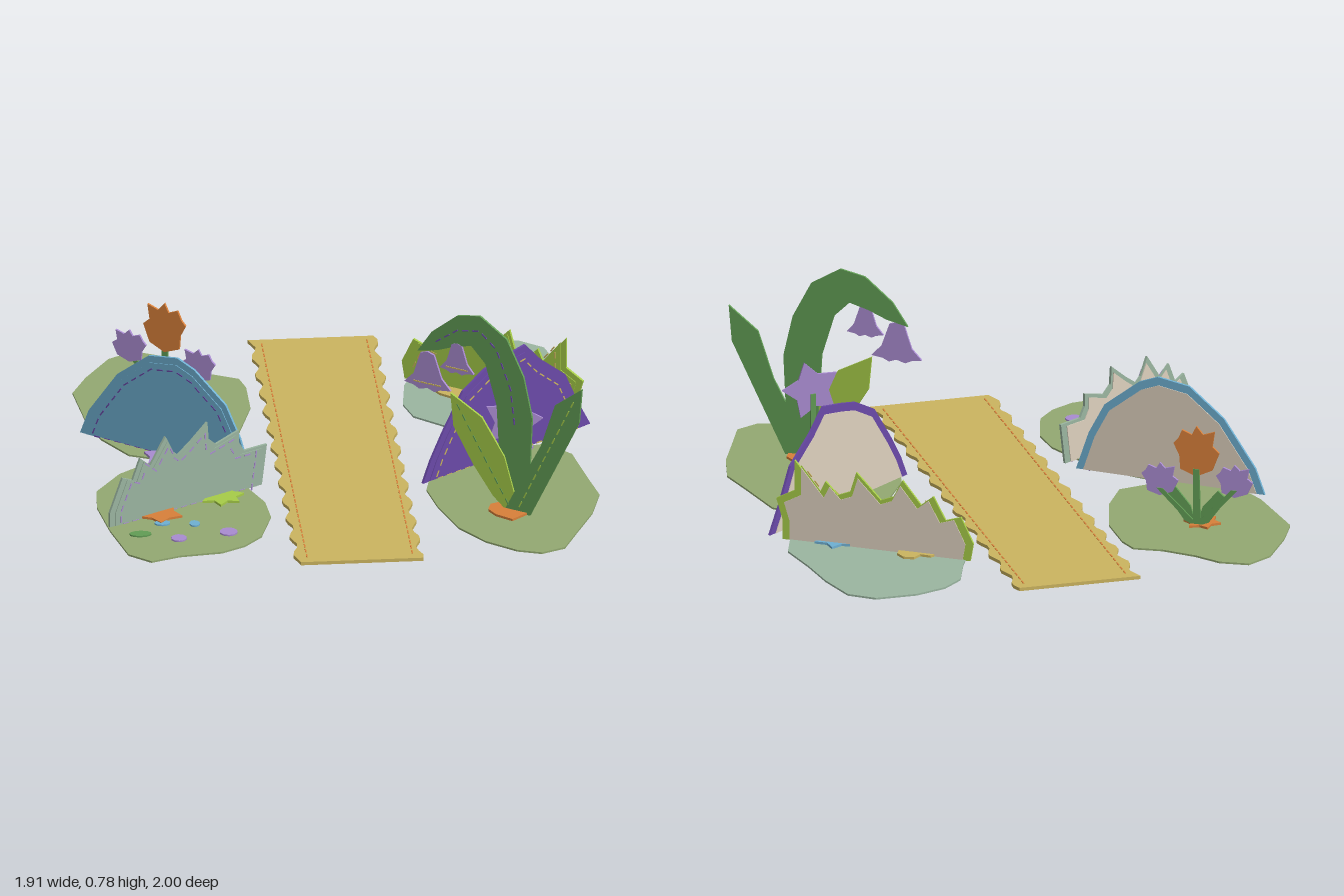
import * as THREE from 'three';
import { mergeGeometries } from 'three/addons/utils/BufferGeometryUtils.js';

const mat = (name, color) => {
  const m = new THREE.MeshStandardMaterial({ color });
  m.name = name;
  return m;
};

export function createModel() {
  const model = new THREE.Group();
  model.name = 'feltGarden';
  const tan = mat('sand', 0xcbb45f), moss = mat('moss', 0x93a972), sage = mat('sage', 0x9ab5a0);
  const purple = mat('purple', 0x6a49a8), lilac = mat('lilac', 0xa98bd0), blue = mat('blue', 0x6fb0d2);
  const lime = mat('lime', 0xa6cc48), green = mat('leafGreen', 0x629d55), orange = mat('orange', 0xd8803a);
  const cream = mat('cream', 0xddd0be);

  const add = (parent, geometry, material, name) => {
    const mesh = new THREE.Mesh(geometry, material);
    mesh.name = name;
    parent.add(mesh);
    return mesh;
  };
  const slab = (pts, depth, z = 0) => {
    const shape = new THREE.Shape(pts.map(p => new THREE.Vector2(p[0], p[1])));
    return new THREE.ExtrudeGeometry(shape, { depth, bevelEnabled: false }).translate(0, 0, z);
  };
  const scaled = (pts, k, cx, cy) => pts.map(([x, y]) => [cx + (x - cx) * k, cy + (y - cy) * k]);

  // Dashes laid along a line of points in the xy plane
  const stitches = (parent, pts, z, material, closed = false) => {
    const list = pts.map(p => new THREE.Vector3(p[0], p[1], 0));
    if (closed) list.push(list[0].clone());
    const path = new THREE.CurvePath();
    for (let i = 1; i < list.length; i++) path.add(new THREE.LineCurve3(list[i - 1], list[i]));
    const n = Math.max(4, Math.round(path.getLength() / 0.045)), dashes = [];
    for (let i = 0; i < n; i++) {
      const p = path.getPointAt((i + 0.5) / n), t = path.getTangentAt((i + 0.5) / n);
      dashes.push(new THREE.BoxGeometry(0.026, 0.005, 0.003).rotateZ(Math.atan2(t.y, t.x)).translate(p.x, p.y, z));
    }
    add(parent, mergeGeometries(dashes), material, 'stitching');
  };

  // Lying pieces: points are [x, z]
  const flat = (pts, y, depth, material, name) =>
    add(model, slab(pts.map(([x, z]) => [x, -z]), depth).rotateX(-Math.PI / 2).translate(0, y, 0), material, name);

  flat([[-.69, -.96], [-.59, -.91], [-.52, -.82], [-.42, -.73], [-.32, -.68], [-.3, -.6], [-.3, -.42], [-.36, -.21],
    [-.44, -.07], [-.6, -.04], [-.7, 0], [-.79, -.04], [-.88, -.19], [-.92, -.32], [-.95, -.61], [-.89, -.74], [-.79, -.9]],
  0, .007, moss, 'backRightPatch');
  flat([[.59, -.93], [.75, -.93], [.84, -.86], [.88, -.7], [.9, -.53], [.93, -.36], [.88, -.22], [.79, -.09], [.68, -.03],
    [.58, -.04], [.46, -.15], [.3, -.29], [.27, -.4], [.29, -.57], [.34, -.68], [.39, -.82], [.47, -.89]],
  0, .007, sage, 'backLeftPatch');
  flat([[-.66, 0], [-.56, .03], [-.46, .13], [-.38, .28], [-.32, .43], [-.31, .56], [-.36, .73], [-.43, .81], [-.52, .86],
    [-.68, .88], [-.79, .92], [-.87, .85], [-.92, .63], [-.95, .42], [-.94, .28], [-.84, .13], [-.75, .06]],
  0, .007, moss, 'frontRightPatch');
  flat([[.77, 0], [.86, .1], [.9, .32], [.93, .47], [.89, .63], [.82, .79], [.76, .93], [.67, .97], [.58, .94],
    [.47, .85], [.38, .72], [.32, .53], [.29, .37], [.32, .23], [.41, .08], [.56, .04]],
  0, .007, moss, 'frontLeftPatch');

  // Path with wavy long edges and a stitched line along each
  const edge = [];
  for (let i = 0; i <= 60; i++) edge.push(-1 + i / 30);
  const wave = (z, k) => .012 * Math.sin(z * 39 + k);
  flat([...edge.map(z => [-.247 + wave(z, 0), z]), ...edge.reverse().map(z => [.215 + wave(z, 1), z])],
    .004, .013, tan, 'path');
  const seams = new THREE.Group();
  seams.name = 'pathSeams';
  seams.rotation.x = -Math.PI / 2;
  for (const x of [-.21, .185]) stitches(seams, [[x, -.97], [x, .97]], .018, orange);
  model.add(seams);

  // Flat charms scattered on the ground
  const star = (cx, cy, r, n = 5, inner = .6, turn = 0) => {
    const pts = [];
    for (let i = 0; i < n * 2; i++) {
      const a = Math.PI * i / n + turn, s = i % 2 ? r * inner : r;
      pts.push([cx + s * Math.sin(a), cy + s * Math.cos(a)]);
    }
    return pts;
  };
  const heart = (cx, cz, r) => [[0, -.65], [.4, -.95], [.85, -.75], [1, -.2], [.7, .4], [0, 1], [-.7, .4], [-1, -.2], [-.85, -.75], [-.4, -.95]]
    .map(([x, z]) => [cx + x * r, cz + z * r]);
  const stars = [[-.64, -.5, .072, orange, 6], [-.66, 0, .085, lilac, 5], [-.48, .37, .088, lime, 7], [-.72, .51, .085, orange, 5],
    [.725, -.31, .088, blue, 6], [.64, .07, .09, lilac, 5]];
  stars.forEach(([x, z, r, m, n], i) => flat(star(x, z, r, n, .64, i * .4), .007, .009, m, 'starCharm'));
  flat(heart(.47, -.5, .08), .007, .009, tan, 'heartCharm');
  flat(heart(.585, .6, .082), .007, .009, orange, 'heartCharm');
  flat(heart(.6, .475, .062), .007, .01, purple, 'heartCharm');
  for (const [x, z, rx, rz, m] of [[-.81, .68, .042, .024, green], [-.67, .73, .03, .03, lilac], [-.48, .69, .034, .034, lilac],
    [-.6, .605, .02, .025, blue], [-.72, .59, .03, .022, blue]])
    add(model, new THREE.CylinderGeometry(1, 1, .006, 10).scale(rx, 1, rz).translate(x, .01, z), m, 'pebble');

  // Upright cut-outs: local x is measured along the line from (x0,z0) to (x1,z1);
  // outlines are given in world x and height, then stretched onto that line.
  const stand = (name, x0, z0, x1, z1) => {
    const group = new THREE.Group(), dx = x1 - x0, dz = z1 - z0, xc = (x0 + x1) / 2;
    group.name = name;
    group.position.set(xc, .004, (z0 + z1) / 2);
    group.rotation.y = -Math.atan2(dz, dx);
    model.add(group);
    const k = Math.hypot(dx, dz) / dx;
    return { group, map: pts => pts.map(([x, y]) => [(x - xc) * k, y]) };
  };

  // Backed cut-out: coloured sheet, raised front panel, cream back panel, seam
  const backed = (name, line, outline, material, thread) => {
    const { group, map } = stand(name, ...line);
    const pts = map(outline);
    add(group, slab(pts, .01, -.005), material, name + 'Sheet');
    add(group, slab(scaled(pts, .93, 0, .012), .003, .005), material, name + 'Panel');
    add(group, slab(scaled(pts, .92, 0, .005), .003, -.008), cream, name + 'Backing');
    stitches(group, scaled(pts, .86, 0, .02), .0085, thread, true);
  };

  backed('blueHill', [-.93, -.25, -.35, .2], [[-.95, 0], [-.92, .1], [-.87, .19], [-.82, .28], [-.76, .34], [-.71, .39],
    [-.61, .41], [-.55, .38], [-.5, .33], [-.44, .27], [-.39, .15], [-.35, 0]], blue, purple);
  backed('purpleHill', [.32, .28, .93, -.16], [[.28, 0], [.31, .08], [.36, .18], [.44, .32], [.53, .38], [.6, .4],
    [.69, .42], [.75, .34], [.85, .24], [.9, .11], [.95, 0]], purple, tan);
  backed('sageGrass', [-.92, .6, -.32, .26], [[-.92, 0], [-.92, .06], [-.87, .19], [-.83, .17], [-.8, .25], [-.76, .21],
    [-.7, .31], [-.67, .24], [-.65, .22], [-.6, .26], [-.535, .32], [-.53, .25], [-.5, .22], [-.41, .25], [-.41, .2],
    [-.39, .16], [-.3, .16], [-.31, .08], [-.32, 0]], sage, lilac);
  backed('limeGrass', [.3, -.64, .91, -.22], [[.3, 0], [.29, .07], [.33, .17], [.38, .15], [.42, .24], [.46, .2],
    [.52, .29], [.55, .22], [.59, .2], [.67, .3], [.69, .22], [.73, .2], [.77, .25], [.79, .2], [.87, .32], [.87, .2],
    [.93, .16], [.91, .08], [.91, 0]], lime, tan);

  // Tall arching bellflower with two leaves
  const tall = stand('bellflower', .24, .34, .84, .75);
  const piece = (s, outline, z, material, name) => add(s.group, slab(s.map(outline), .009, z), material, name);
  piece(tall, [[.65, 0], [.665, .4], [.635, .56], [.575, .7], [.48, .77], [.4, .75], [.31, .66], [.26, .57], [.33, .59],
    [.39, .62], [.45, .64], [.5, .58], [.54, .42], [.56, 0]], -.004, green, 'archingStem');
  piece(tall, [[.57, 0], [.63, .14], [.70, .3], [.75, .48], [.845, .57], [.835, .43], [.75, .22], [.66, 0]], .004, green, 'rightLeaf');
  piece(tall, [[.58, 0], [.53, .05], [.46, .16], [.39, .3], [.38, .43], [.49, .36], [.57, .22], [.61, .06], [.62, 0]], .003, lime, 'leftLeaf');
  stitches(tall.group, tall.map([[.605, .35], [.59, .5], [.54, .65], [.48, .71], [.4, .69], [.32, .62]]), .007, purple);
  stitches(tall.group, tall.map([[.62, .02], [.7, .22], [.82, .52]]), .014, lime);
  stitches(tall.group, tall.map([[.59, .02], [.5, .2], [.4, .4]]), .013, green);
  const bell = (cx, cy, w, h) => [[-.3, .5], [0, .56], [.28, .5], [.6, -.1], [1, -.38], [.55, -.42], [.3, -.5], [0, -.43],
    [-.35, -.5], [-.6, -.42], [-1, -.38], [-.6, -.1]].map(([x, y]) => [cx + x * w, cy + y * h]);
  for (const [x, y, w, h, z] of [[.3, .495, .082, .15, .006], [.4, .57, .06, .12, -.002]]) {
    piece(tall, bell(x, y, w, h), z, lilac, 'bell');
    stitches(tall.group, tall.map([[x - w * .6, y - h * .3], [x + w * .6, y - h * .3]]), z + .01, tan);
  }

  // Small star flower behind it
  const small = stand('starFlower', .48, .46, .72, .46);
  piece(small, [[.59, 0], [.59, .3], [.61, .3], [.61, 0]], -.008, green, 'stem');
  piece(small, star(.605, .315, .115, 5, .58, .25), -.003, lilac, 'petals');
  piece(small, star(.605, .315, .035, 6, .8), .002, purple, 'flowerCentre');

  // Tulip cluster
  const tulips = stand('tulips', -.81, -.65, -.42, -.4);
  const tulip = (cx, y, w, h) => [[0, 0], [.7, .12], [.75, .4], [1, .62], [.8, .72], [.62, .9], [.2, .82], [0, 1], [-.3, .84],
    [-.8, .92], [-.7, .62], [-1, .5], [-.7, .15]].map(([a, b]) => [cx + a * w, y + b * h]);
  for (const [x, y, w, h, m] of [[-.735, .13, .06, .13, lilac], [-.61, .2, .075, .2, orange], [-.49, .11, .06, .13, lilac]]) {
    piece(tulips, [[-.625, 0], [x - .01, y + .03], [x + .01, y + .03], [-.6, 0]], -.004, green, 'stem');
    piece(tulips, tulip(x, y, w, h), 0, m, 'bloom');
  }
  for (const s of [-1, 1])
    piece(tulips, [[-.61, 0], [-.61 + s * .04, .02], [-.61 + s * .1, .12], [-.61 + s * .07, .15], [-.61 + s * .02, .08]], .002, green, 'leaf');
  return model;
}
